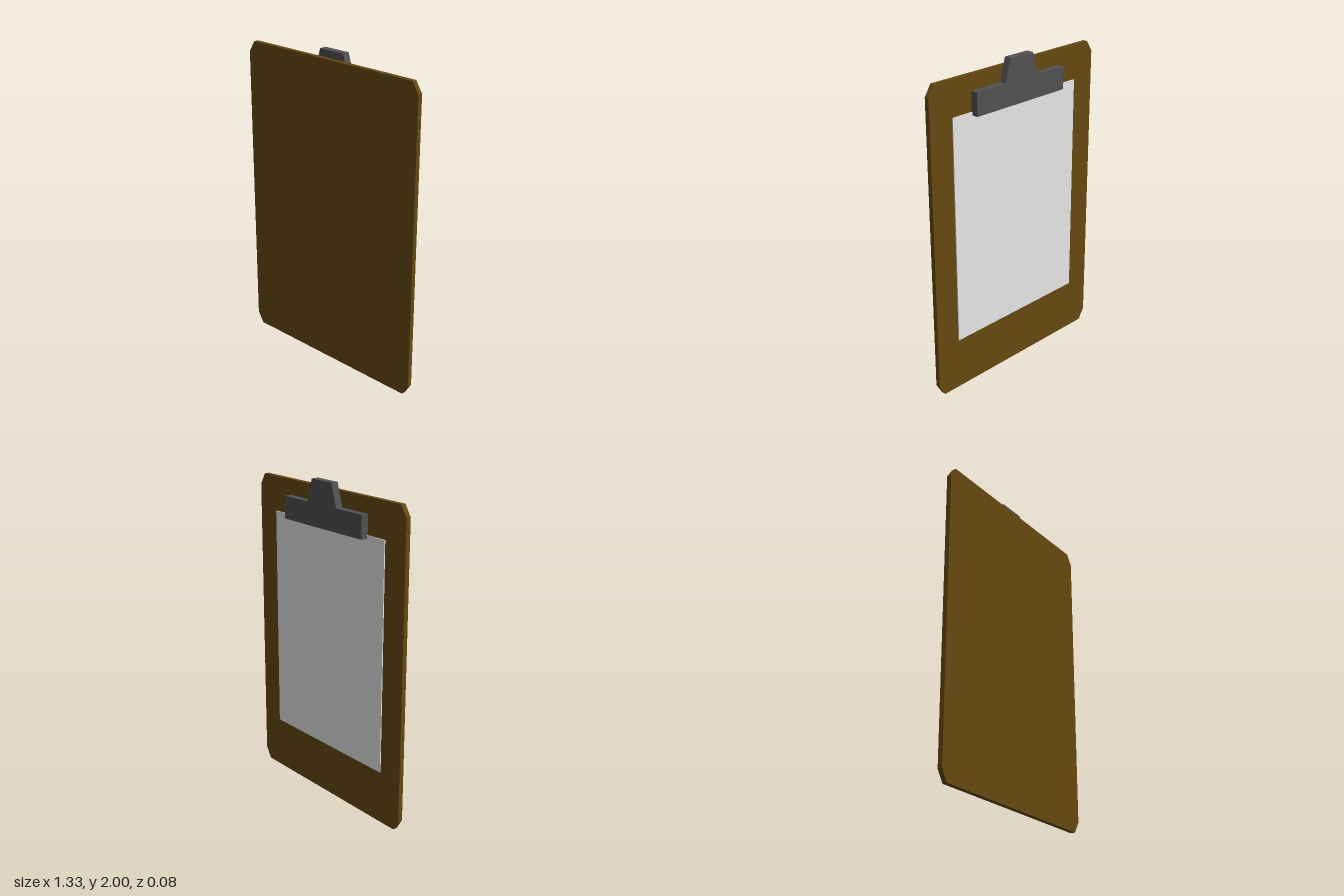
import * as THREE from 'three';

// Flat plate cut from an outline, spanning zMin to zMax
function plate(name, points, zMin, zMax, material) {
  const shape = new THREE.Shape(points.map(([x, y]) => new THREE.Vector2(x, y)));
  const geometry = new THREE.ExtrudeGeometry(shape, { depth: zMax - zMin, bevelEnabled: false });
  geometry.translate(0, 0, zMin);
  const mesh = new THREE.Mesh(geometry, material);
  mesh.name = name;
  return mesh;
}

// Mirror a right-hand outline (listed bottom to top) across x = 0
function mirrored(half) {
  return [...half, ...half.map(([x, y]) => [-x, y]).reverse()];
}

export function createModel() {
  const wood = new THREE.MeshStandardMaterial({ color: 0x654811 });
  wood.name = 'brown board';
  const white = new THREE.MeshStandardMaterial({ color: 0xe6e6e6 });
  white.name = 'white paper';
  const metal = new THREE.MeshStandardMaterial({ color: 0x515151 });
  metal.name = 'dark grey metal';

  const group = new THREE.Group();
  group.name = 'clipboard';

  // Board with chamfered corners
  group.add(plate('board', mirrored([
    [0.62, 0], [0.663, 0.07], [0.663, 1.887], [0.62, 1.955],
  ]), 0.008, 0.038, wood));

  // Sheet of paper on the rear face
  group.add(plate('paper', mirrored([[0.5, 0.33], [0.5, 1.74]]), 0.002, 0.008, white));

  // Clip: wide jaw with a tapered grip
  group.add(plate('clip', mirrored([
    [0.354, 1.72], [0.354, 1.86], [0.132, 1.86], [0.09, 2],
  ]), -0.038, 0.008, metal));

  return group;
}
